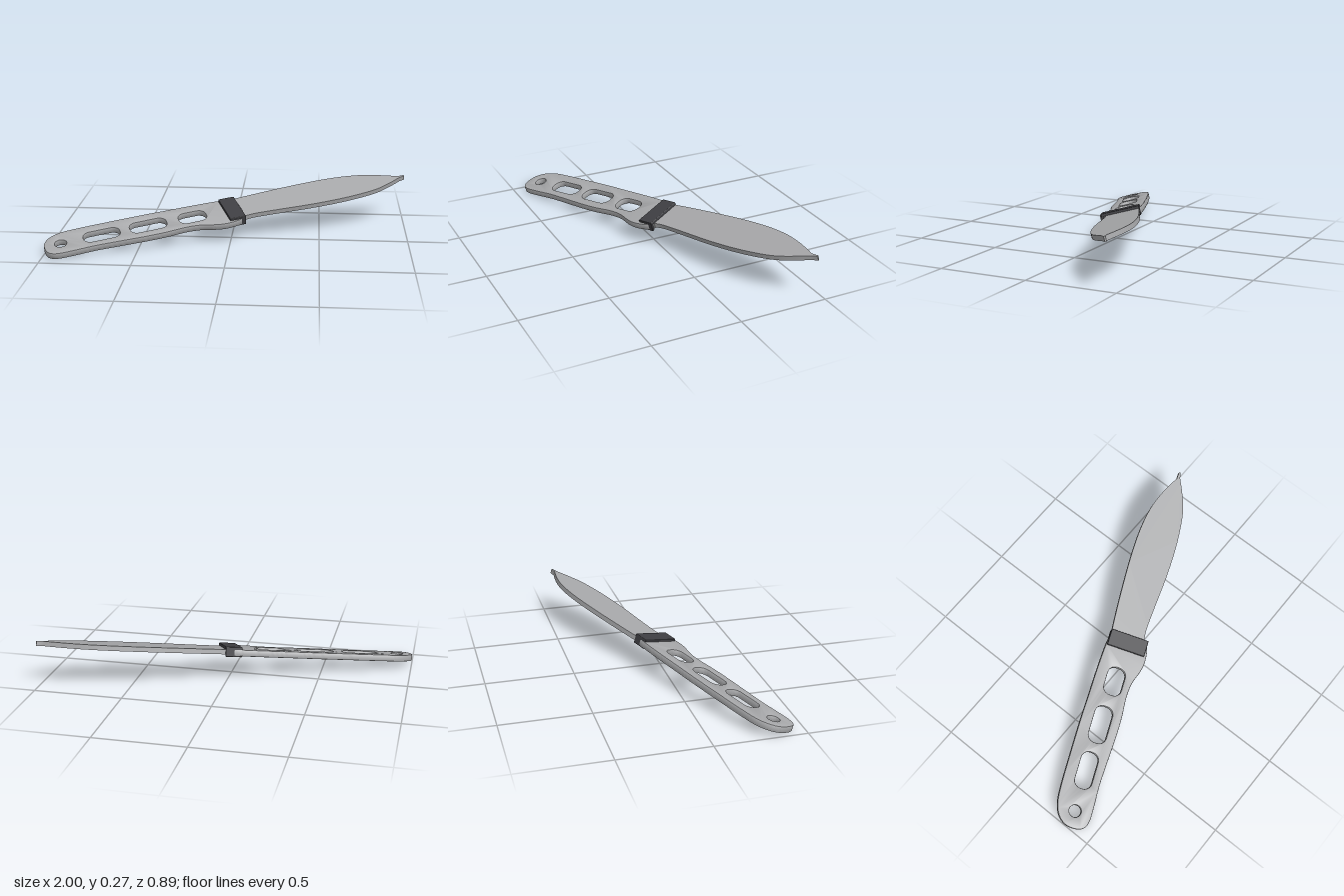
import * as THREE from 'three';
import { toCreasedNormals } from 'three/addons/utils/BufferGeometryUtils.js';
import { RoundedBoxGeometry } from 'three/addons/geometries/RoundedBoxGeometry.js';

const TILT = Math.PI / 12; // the knife lies in a plane tilted about x
const AXIS = 0.40;         // direction of the knife within that plane

// Outline points are plan positions (x, z); z is flipped into shape space.
const pts = (list) => list.map(([x, z]) => new THREE.Vector2(x, -z));

// Extrude a plan shape, centred on the tilted plane.
function slab(shape, thickness, bevel) {
  const geo = new THREE.ExtrudeGeometry(shape, {
    depth: thickness - 2 * bevel, curveSegments: 10,
    bevelEnabled: bevel > 0, bevelSize: bevel, bevelThickness: bevel,
    bevelOffset: -bevel, bevelSegments: 2,
  });
  geo.translate(0, 0, -thickness / 2 + bevel);
  geo.scale(1, 1 / Math.cos(TILT), 1);
  return toCreasedNormals(geo, 0.6);
}

// Rounded slot hole, turned along the handle.
function slot(x, z, w, h) {
  const r = 0.042, path = new THREE.Path(), out = [];
  [[1, 1], [-1, 1], [-1, -1], [1, -1]].forEach(([sx, sy], i) => {
    for (let k = 0; k <= 6; k++) {
      const a = (i + k / 6) * Math.PI / 2;
      out.push(new THREE.Vector2(sx * (w / 2 - r) + r * Math.cos(a), sy * (h / 2 - r) + r * Math.sin(a))
        .rotateAround(new THREE.Vector2(), AXIS).add(new THREE.Vector2(x, -z)));
    }
  });
  return path.setFromPoints(out);
}

export function createModel() {
  const steel = new THREE.MeshStandardMaterial({ color: 0xa8a9ab });
  steel.name = 'steel grey';
  const dark = new THREE.MeshStandardMaterial({ color: 0x3f3f43 });
  dark.name = 'dark grey';

  const knife = new THREE.Group();
  knife.name = 'knife';
  knife.rotation.x = TILT - Math.PI / 2;
  knife.position.y = 0.139;

  const add = (name, geo, mat, parent = knife) => {
    const mesh = new THREE.Mesh(geo, mat);
    mesh.name = name;
    parent.add(mesh);
    return mesh;
  };

  // Blade: spine out to the hooked tip, then back along the cutting edge
  const blade = new THREE.Shape();
  blade.moveTo(-0.02, 0.125);
  blade.splineThru(pts([[0.01, -0.147], [0.19, -0.235], [0.4, -0.33], [0.565, -0.393],
    [0.7, -0.428], [0.805, -0.438], [0.91, -0.435], [0.955, -0.43]]));
  blade.lineTo(0.995, 0.444);
  blade.lineTo(1, 0.437);
  blade.lineTo(0.972, 0.418);
  blade.splineThru(pts([[0.955, -0.4], [0.91, -0.353], [0.84, -0.29], [0.75, -0.235],
    [0.62, -0.172], [0.457, -0.108], [0.27, -0.046], [0.136, 0.0], [0.07, 0.035]]));
  blade.closePath();
  add('blade', slab(blade, 0.027, 0), steel).position.z = 0.003;

  // Handle: upper side, rounded butt, lower side with finger swell
  const handle = new THREE.Shape();
  handle.moveTo(0, 0.138);
  handle.splineThru(pts([[-0.09, -0.115], [-0.24, -0.06], [-0.37, -0.008], [-0.505, 0.045],
    [-0.72, 0.136], [-0.85, 0.193], [-0.935, 0.238], [-0.985, 0.29], [-1, 0.35],
    [-0.978, 0.41], [-0.945, 0.436], [-0.9, 0.434], [-0.826, 0.404], [-0.72, 0.355],
    [-0.61, 0.313], [-0.45, 0.254], [-0.345, 0.21], [-0.24, 0.158], [-0.16, 0.133],
    [-0.08, 0.126], [-0.025, 0.114], [0.03, 0.088], [0.065, 0.06], [0.08, 0.036]]));
  handle.closePath();
  handle.holes.push(
    slot(-0.7, 0.248, 0.205, 0.095),
    slot(-0.455, 0.147, 0.21, 0.1),
    slot(-0.217, 0.053, 0.16, 0.1),
    new THREE.Path().absarc(-0.91, -0.34, 0.033, 0, Math.PI * 2),
  );
  add('handle', slab(handle, 0.037, 0.005), steel);

  // Guard: a top plate with a lip down each side, open underneath
  const guard = new THREE.Group();
  guard.name = 'guard';
  guard.position.set(0.001, 0.031, 0);
  guard.rotation.z = AXIS;
  knife.add(guard);
  add('guardPlate', new RoundedBoxGeometry(0.094, 0.222, 0.018, 2, 0.004), dark, guard).position.z = 0.023;
  for (const s of [-1, 1]) {
    add('guardLip', new RoundedBoxGeometry(0.094, 0.014, 0.056, 2, 0.004), dark, guard)
      .position.set(0, s * 0.104, 0.004);
  }

  const model = new THREE.Group();
  model.name = 'model';
  model.add(knife);
  return model;
}
